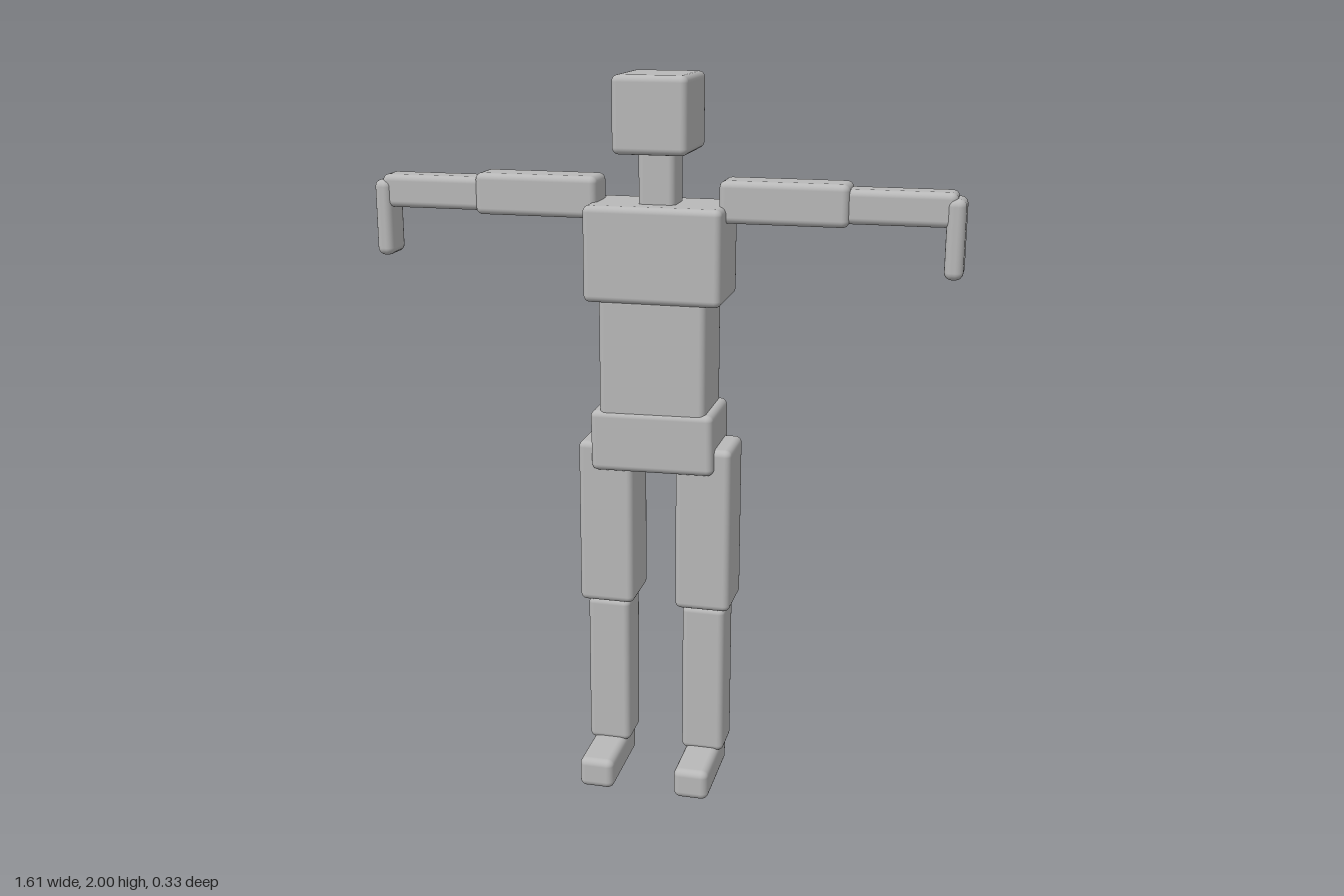
import * as THREE from 'three';
import { RoundedBoxGeometry } from 'three/addons/geometries/RoundedBoxGeometry.js';

export function createModel() {
  const model = new THREE.Group();
  model.name = 'blockFigure';
  const grey = new THREE.MeshStandardMaterial({ color: 0xb8b8b8 });
  grey.name = 'grey';

  // Rounded block given by its extents on each axis
  function block(name, [x0, x1], [y0, y1], [z0, z1], radius = 0.018) {
    const geometry = new RoundedBoxGeometry(x1 - x0, y1 - y0, z1 - z0, 3, radius);
    const mesh = new THREE.Mesh(geometry, grey);
    mesh.name = name;
    mesh.position.set((x0 + x1) / 2, (y0 + y1) / 2, (z0 + z1) / 2);
    model.add(mesh);
    return mesh;
  }

  // Head and torso
  block('head', [-0.103, 0.1], [1.797, 2], [-0.15, 0.08]);
  block('neck', [-0.052, 0.05], [1.63, 1.82], [-0.105, 0]);
  block('chest', [-0.19, 0.188], [1.4, 1.66], [-0.165, 0.063]);
  block('abdomen', [-0.15, 0.147], [1.06, 1.415], [-0.155, 0.052]);
  const pelvis = block('pelvis', [-0.174, 0.17], [0.928, 1.1], [-0.16, 0.058]);
  pelvis.rotation.z = 0.015;

  // Arms and legs, mirrored across x
  for (const [side, s] of [['left', 1], ['right', -1]]) {
    const limb = (name, a, b, y, z, r) =>
      block(side + name, s > 0 ? [a, b] : [-b, -a], y, z, r);
    limb('UpperArm', 0.167, 0.51, [1.615, 1.728], [-0.113, 0]);
    limb('Forearm', 0.495, 0.785, [1.624, 1.715], [-0.102, -0.011]);
    limb('Hand', 0.758, 0.807, [1.49, 1.7], [-0.104, -0.004], 0.02);
    limb('Thigh', 0.06, 0.217, [0.525, 1], [-0.137, 0.034]);
    limb('Shin', 0.077, 0.2, [0.078, 0.525], [-0.112, 0.012]);
    limb('Foot', 0.088, 0.188, [0, 0.088], [-0.106, 0.165], 0.02);
  }
  return model;
}
